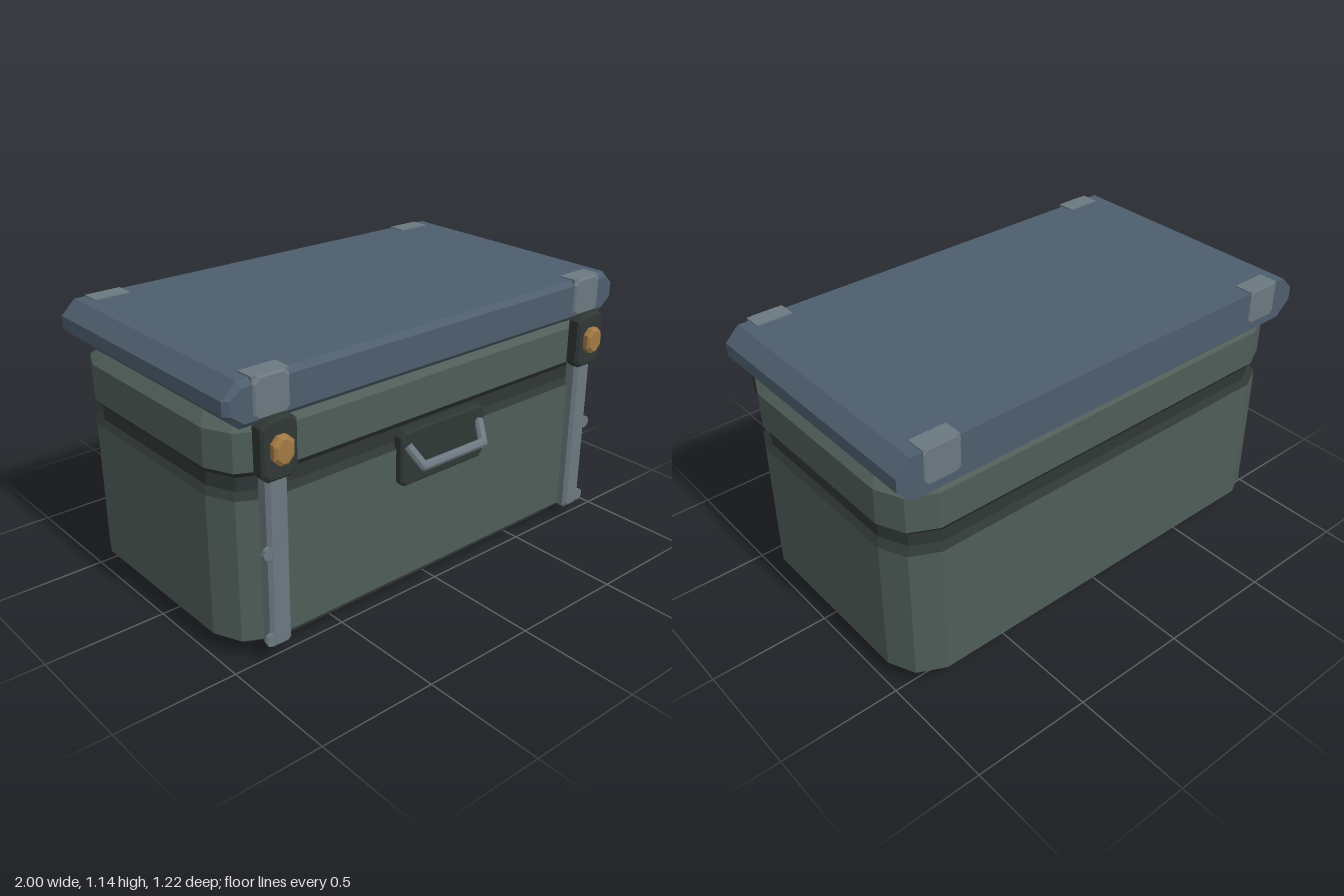
import * as THREE from 'three';

const mat = (name, color) => new THREE.MeshStandardMaterial({ name, color });

// Faceted solid lofted along +z through closed counter-clockwise rings of [x, y, z]
function loft(rings, capStart = true, capEnd = true) {
  const pos = [];
  const tri = (a, b, c) => pos.push(...a, ...b, ...c);
  const n = rings[0].length;
  for (let r = 0; r < rings.length - 1; r++) {
    const a = rings[r], b = rings[r + 1];
    for (let i = 0; i < n; i++) {
      const j = (i + 1) % n;
      tri(a[i], a[j], b[j]);
      tri(a[i], b[j], b[i]);
    }
  }
  const first = rings[0], last = rings[rings.length - 1];
  for (let i = 1; i < n - 1; i++) {
    if (capStart) tri(first[0], first[i + 1], first[i]);
    if (capEnd) tri(last[0], last[i], last[i + 1]);
  }
  const g = new THREE.BufferGeometry();
  g.setAttribute('position', new THREE.Float32BufferAttribute(pos, 3));
  g.computeVertexNormals();
  return g;
}

// Rectangle with cut corners and a bevelled front edge, spanning z0 to z1
function plate(w, h, z0, z1, cut, bevel) {
  const ring = (t, z) => {
    const x = w / 2 - t, y = h / 2 - t;
    return [[x, -y + cut], [x, y - cut], [x - cut, y], [-x + cut, y],
      [-x, y - cut], [-x, -y + cut], [-x + cut, -y], [x - cut, -y]].map(([a, b]) => [a, b, z]);
  };
  return loft([ring(0, z0), ring(0, z1 - bevel), ring(bevel, z1)]);
}

// Body outline at height y: a rectangle with two-facet corners, inset by t
function bodyRing([y, t]) {
  const w = 0.98 - t, d = 0.547 - t;
  const q = [[w, d - 0.165], [w - 0.05, d - 0.055], [w - 0.16, d]];
  const m = (sx, sy) => q.map(([a, b]) => [a * sx, b * sy + 0.047, y]);
  return [...m(1, 1), ...m(-1, 1).reverse(), ...m(-1, -1), ...m(1, -1).reverse()];
}

// Lid end outline at depth z, inset by t
function lidRing(z, t) {
  const q = [[1 - t, 1.075], [0.94 - t * 0.4, 1.133 - t]];
  const low = [[0.935 - t * 0.4, 0.958 + t], [1 - t, 1.02]];
  return [...low, ...q, ...q.map(([x, y]) => [-x, y]).reverse(), ...low.map(([x, y]) => [-x, y]).reverse()]
    .map(([x, y]) => [x, y, z]);
}

// Faceted rod between two points
function rod(a, b, r) {
  const d = new THREE.Vector3().subVectors(b, a);
  const g = new THREE.CylinderGeometry(r, r, d.length(), 8).toNonIndexed();
  g.computeVertexNormals();
  g.applyQuaternion(new THREE.Quaternion().setFromUnitVectors(new THREE.Vector3(0, 1, 0), d.normalize()));
  const c = a.clone().add(b).multiplyScalar(0.5);
  return g.translate(c.x, c.y, c.z);
}

export function createModel() {
  const green = mat('greenShell', 0x4f5d58);
  const dark = mat('darkTrim', 0x2f3735);
  const blue = mat('blueLid', 0x4e5e6e);
  const metal = mat('greyMetal', 0x6c7880);
  const brass = mat('brass', 0xa27a44);

  const root = new THREE.Group();
  root.name = 'storageChest';
  const add = (name, geometry, material, x = 0, y = 0, z = 0, parent = root) => {
    const m = new THREE.Mesh(geometry, material);
    m.name = name;
    m.position.set(x, y, z);
    parent.add(m);
    return m;
  };

  // Shell in three bands, with a recessed dark groove
  const band = (name, levels, material, bottom, top) =>
    add(name, loft(levels.map(bodyRing), bottom, top).rotateX(-Math.PI / 2), material);
  band('lowerShell', [[0, 0.078], [0.08, 0], [0.66, 0]], green, true, false);
  band('groove', [[0.66, 0], [0.685, 0.02], [0.74, 0.02], [0.768, 0]], dark, false, false);
  band('upperShell', [[0.768, 0], [0.92, 0], [0.965, 0.045]], green, false, true);

  // Lid with a bevelled front
  add('lid', loft([lidRing(-0.608, 0), lidRing(0.5, 0), lidRing(0.521, 0.022)]), blue);

  // Fittings on both sides
  for (const s of [1, -1]) {
    const side = new THREE.Group();
    side.name = s > 0 ? 'leftFittings' : 'rightFittings';
    side.position.x = s * 0.814;
    root.add(side);
    const put = (name, g, m, x, y, z) => add(name, g, m, x, y, z, side);

    put('strap', plate(0.094, 0.875, 0.49, 0.543, 0.012, 0.014), metal, 0, 0.502, 0);
    for (const y of [0.468, 0.105]) {
      const rivet = new THREE.CylinderGeometry(0.027, 0.027, 0.016, 8).toNonIndexed().rotateX(Math.PI / 2);
      rivet.computeVertexNormals();
      put('rivet', rivet, metal, s * 0.045, y, 0.534);
    }

    // Latch and its catch
    put('latchPlate', plate(0.154, 0.232, 0.51, 0.564, 0.025, 0.01), dark, 0, 0.871, 0);
    put('latchKnob', plate(0.086, 0.108, 0.56, 0.594, 0.025, 0.01), brass, 0, 0.873, 0);

    // Front clasp wrapping the lid edge
    put('frontClaspFace', plate(0.154, 0.165, 0.49, 0.528, 0.022, 0.008), metal, 0, 1.055, 0);
    put('frontClaspTop', new THREE.BoxGeometry(0.154, 0.03, 0.078), metal, 0, 1.123, 0.479);

    // Rear hinge wrapping the lid edge
    const hinge = plate(0.154, 0.145, 0.595, 0.613, 0.014, 0.004).rotateY(Math.PI);
    put('hingeFace', hinge, metal, 0, 1.0655, 0);
    put('hingeTop', new THREE.BoxGeometry(0.154, 0.03, 0.08), metal, 0, 1.123, -0.57);
  }

  // Carry handle on its backing plate
  add('handlePlate', plate(0.45, 0.23, 0.49, 0.531, 0.02, 0.008), dark, -0.003, 0.62, 0);
  const handle = new THREE.Group();
  handle.name = 'handle';
  root.add(handle);
  const pts = [[-0.192, 0.675, 0.527], [-0.16, 0.602, 0.586], [0.16, 0.602, 0.586], [0.192, 0.675, 0.527]]
    .map(p => new THREE.Vector3(...p));
  for (let i = 0; i < 3; i++) {
    add(i === 1 ? 'handleGrip' : 'handleArm', rod(pts[i], pts[i + 1], 0.019), metal, -0.003, 0, 0, handle);
  }
  for (const p of [pts[1], pts[2]]) {
    add('handleCorner', new THREE.IcosahedronGeometry(0.02, 1), metal, p.x - 0.003, p.y, p.z, handle);
  }
  return root;
}
